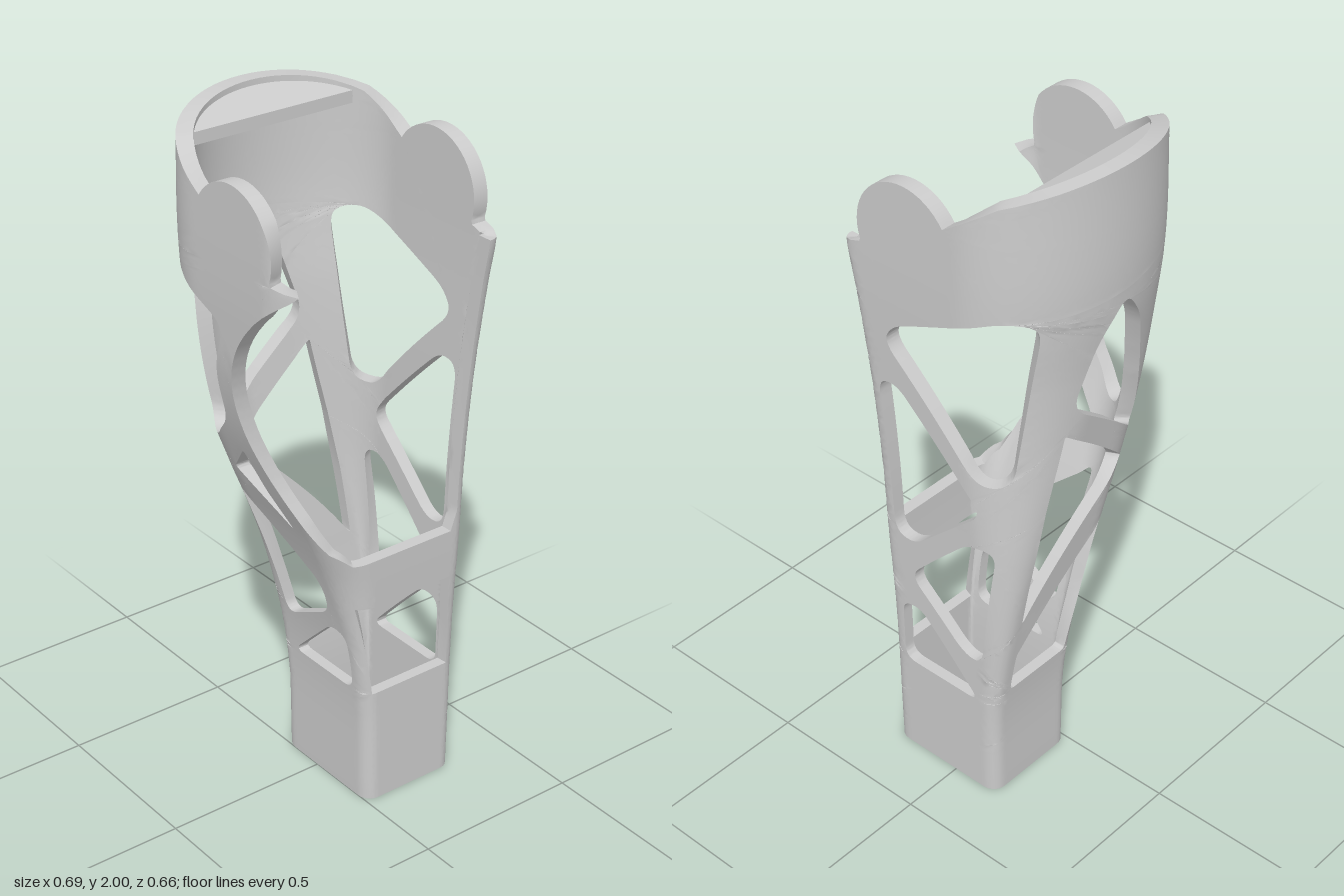
import * as THREE from 'three';
import { toCreasedNormals } from 'three/addons/utils/BufferGeometryUtils.js';

const { lerp, clamp, smoothstep } = THREE.MathUtils;
const US = 0.4;      // width of one unrolled wall
const DEPTH = 0.04;  // unrolled shell thickness
const SEAM = 0.15;   // x where the unrolled shell closes
const K = 1 - Math.SQRT1_2;

// Silhouette curves over the height
const curve = (ys, vs) => {
  const c = new THREE.CubicInterpolant(ys, vs, 1, new Float32Array(1));
  return (y) => c.evaluate(clamp(y, 0, 2))[0];
};
const xMin = curve([0, 0.35, 0.5, 0.7, 0.85, 1, 1.2, 1.38, 1.55, 1.7, 2],
  [0, -0.01, -0.03, -0.08, -0.135, -0.2, -0.28, -0.325, -0.34, -0.345, -0.345]);
const xMax = curve([0, 0.6, 1.2, 1.6, 2], [0.31, 0.32, 0.333, 0.345, 0.345]);
const zMax = curve([0, 0.5, 0.75, 1, 1.3, 1.55, 1.68, 2], [0.23, 0.232, 0.243, 0.25, 0.272, 0.303, 0.325, 0.325]);
const zMin = curve([0, 0.3, 0.6, 0.9, 1.2, 1.4, 1.62, 2], [-0.15, -0.155, -0.19, -0.23, -0.27, -0.298, -0.33, -0.33]);

// Cross-section: square at the foot, half round at the back near the top
function section(y) {
  const x0 = xMin(y), x1 = xMax(y), z0 = zMin(y), z1 = zMax(y);
  const s = smoothstep(y, 0.3, 1.65);
  return {
    x0, x1, z0, z1,
    rx: lerp(0.04, (x1 - x0) / 2, s), rz: lerp(0.04, 0.27, s),
    rf: 0.04, rg: 0.04 + 0.06 * smoothstep(y, 0.4, 0.8),
  };
}
// Start and end coordinate of each wall: front, left, back, right, front
function ranges(c) {
  const back = c.z0 + K * c.rz;
  return [
    [SEAM, c.x1 - K * c.rf], [c.z1 - K * c.rf, back],
    [c.x1 - K * c.rx, c.x0 + K * c.rx],
    [back, c.z1 - K * c.rg], [c.x0 + K * c.rg, SEAM],
  ];
}
// Unrolled point for a coordinate p on a wall at height y
function at(wall, p, y) {
  const [a, b] = ranges(section(y))[wall];
  return new THREE.Vector2((wall + (p - a) / (b - a)) * US, y);
}
// Elliptic corner: distance dropped from the flat and the 2D normal
function bend(p, lo, hi, aLo, bLo, aHi, bHi) {
  const high = p > (lo + hi) / 2;
  const a = high ? aHi : aLo, b = high ? bHi : bLo;
  const q = high ? clamp((p - hi + a) / a, 0, 1) : clamp((p - lo - a) / a, -1, 0);
  const s = Math.sqrt(1 - q * q), l = Math.hypot(q / a, s / b);
  return [b * (1 - s), q / a / l, s / b / l];
}
// Roll an unrolled point onto the body
function roll(v) {
  const y = v.y, c = section(y), u = clamp(v.x / US, 0, 5);
  const w = Math.min(4, Math.floor(u)), [a, b] = ranges(c)[w], p = lerp(a, b, u - w);
  const d = (1 - v.z / DEPTH) * lerp(0.033, 0.045, smoothstep(y, 0.4, 1.6));
  if (w === 0 || w === 4) {
    const [o, n, m] = bend(p, c.x0, c.x1, c.rg, c.rg, c.rf, c.rf);
    return [p - n * d, y, c.z1 - o - m * d];
  }
  if (w === 2) {
    const [o, n, m] = bend(p, c.x0, c.x1, c.rx, c.rz, c.rx, c.rz);
    return [p - n * d, y, c.z0 + o + m * d];
  }
  const r = w === 1 ? c.rf : c.rg;
  const [o, n, m] = bend(p, c.z0, c.z1, c.rz, c.rx, r, r);
  return [w === 1 ? c.x1 - o - m * d : c.x0 + o + m * d, y, p - n * d];
}
// Halve the longest edges until the sheet is fine enough to roll
function refine(geo, limit) {
  const src = geo.index ? geo.toNonIndexed() : geo;
  const pos = src.attributes.position, out = [], stack = [];
  const get = (i) => new THREE.Vector3().fromBufferAttribute(pos, i);
  for (let i = 0; i < pos.count; i += 3) stack.push([get(i), get(i + 1), get(i + 2)]);
  while (stack.length) {
    const [a, b, c] = stack.pop();
    const ab = a.distanceToSquared(b), bc = b.distanceToSquared(c), ca = c.distanceToSquared(a);
    const m = Math.max(ab, bc, ca);
    if (m < limit * limit) out.push(...roll(a), ...roll(b), ...roll(c));
    else {
      const [p, q, r] = m === ab ? [a, b, c] : m === bc ? [b, c, a] : [c, a, b];
      const h = p.clone().add(q).multiplyScalar(0.5);
      stack.push([p, h, r], [h, q, r]);
    }
  }
  const g = new THREE.BufferGeometry();
  g.setAttribute('position', new THREE.Float32BufferAttribute(out, 3));
  return g;
}
// Window with rounded corners on one wall
function windowPath(wall, pts, r) {
  const v = pts.map((p) => new THREE.Vector2(...p)), n = v.length, res = [];
  v.forEach((p, i) => {
    const toward = (o) => p.clone().lerp(o, Math.min(0.45, r / p.distanceTo(o)));
    const arc = new THREE.QuadraticBezierCurve(toward(v[(i + n - 1) % n]), p, toward(v[(i + 1) % n]));
    res.push(...arc.getPoints(6).map((e) => at(wall, e.x, e.y)));
  });
  return new THREE.Path(res);
}

const rimY = (z) => 1.948 - 0.35 * (z + 0.18);

// Side rim from the front lip over the round ear to the back
function sideRim(wall) {
  const pts = [[0.318, 1.68], [0.255, 1.7]];
  for (let i = 0; i <= 24; i++) {
    const t = lerp(-0.32, Math.PI - 0.6, i / 24);
    pts.push([0.1 + 0.16 * Math.cos(t), 1.76 + 0.16 * Math.sin(t)]);
  }
  pts.push([-0.18, 1.948], [-0.245, rimY(-0.245)]);
  return pts.map(([z, y]) => at(wall, z, y));
}

function shellGeometry() {
  const outline = [new THREE.Vector2(0, 0), new THREE.Vector2(5 * US, 0)];
  const add = (wall, list) => list.forEach(([p, y]) => outline.push(at(wall, p, y)));
  // lower front window, crossbar and swept right edge
  add(4, [[SEAM, 0.36], [0.015, 0.36], [-0.04, 0.65], [SEAM, 0.65], [SEAM, 0.8], [-0.06, 0.8]]);
  const sweep = [[0.2, 0.84], [0.15, 0.93], [0.09, 1.05], [0.055, 1.2], [0.055, 1.34], [0.1, 1.47], [0.19, 1.58], [0.318, 1.68]];
  const edge = new THREE.SplineCurve(sweep.map((p) => new THREE.Vector2(...p))).getPoints(28);
  add(3, edge.slice(0, -1).map((p) => [p.x, p.y]));
  outline.push(...sideRim(3));
  for (let i = 0; i <= 16; i++) {
    const x = lerp(-0.23, 0.23, i / 16);
    add(2, [[x, rimY(-0.06 - 0.27 * Math.sqrt(1 - (x / 0.345) ** 2))]]);
  }
  outline.push(...sideRim(1).reverse());
  // left front leg
  add(0, [[0.302, 1.68], [0.298, 1.3], [0.29, 0.86], [0.27, 0.8], [SEAM, 0.8], [SEAM, 0.65], [0.275, 0.65], [0.28, 0.36], [SEAM, 0.36]]);
  const shape = new THREE.Shape(outline);

  shape.holes.push(
    // left wall
    windowPath(1, [[0.19, 1.43], [0.15, 1.49], [-0.19, 1.63], [-0.26, 1.61], [-0.195, 1.11], [-0.12, 1.1]], 0.05),
    windowPath(1, [[0.22, 1.29], [0.15, 1.3], [-0.13, 1.01], [0.12, 0.78], [0.19, 0.79]], 0.05),
    windowPath(1, [[0.145, 0.66], [-0.08, 0.89], [-0.165, 0.89], [-0.115, 0.48], [-0.05, 0.48]], 0.05),
    windowPath(1, [[0.18, 0.54], [0.11, 0.55], [-0.1, 0.33], [0.18, 0.33]], 0.04),
    // back wall
    windowPath(2, [[0.0, 1.63], [-0.08, 1.52], [-0.13, 1.33], [-0.175, 1.07], [0.14, 1.32], [0.08, 1.52]], 0.05),
    windowPath(2, [[-0.12, 1.01], [0.155, 1.24], [0.2, 1.0], [0.24, 0.62]], 0.01),
    windowPath(2, [[-0.09, 0.85], [0.245, 0.5], [0.255, 0.37], [0.03, 0.37], [-0.02, 0.58]], 0.015),
    // right wall
    windowPath(3, [[0.05, 1.52], [-0.2, 1.62], [-0.285, 1.61], [-0.2, 1.12], [-0.13, 1.1], [-0.01, 1.22], [-0.005, 1.38]], 0.05),
    windowPath(3, [[-0.09, 1.02], [0.005, 1.12], [0.035, 1.0], [0.09, 0.88]], 0.015),
    windowPath(3, [[-0.15, 0.93], [0.12, 0.7], [0.12, 0.6], [-0.1, 0.48]], 0.05),
    windowPath(3, [[0.175, 0.54], [0.11, 0.55], [-0.09, 0.36], [0.175, 0.36]], 0.04),
  );
  const sheet = new THREE.ExtrudeGeometry(shape, { depth: DEPTH, bevelEnabled: false });
  return toCreasedNormals(refine(sheet, 0.026), 0.7);
}

// Sloping cap closing the back of the rim
function capGeometry() {
  const t0 = Math.asin(0.12 / 0.268), pts = [];
  for (let i = 0; i <= 32; i++) {
    const t = lerp(t0, Math.PI - t0, i / 32);
    pts.push(new THREE.Vector2(0.342 * Math.cos(t), 0.06 + 0.268 * Math.sin(t)));
  }
  const g = new THREE.ExtrudeGeometry(new THREE.Shape(pts), { depth: 0.035, bevelEnabled: false });
  g.rotateX(-Math.PI / 2);
  const p = g.attributes.position;
  for (let i = 0; i < p.count; i++) p.setY(i, p.getY(i) - 0.036 + rimY(p.getZ(i)));
  return toCreasedNormals(g, 0.6);
}

export function createModel() {
  const group = new THREE.Group();
  const material = new THREE.MeshStandardMaterial({ color: 0xcccccc });
  const part = (name, geometry) => {
    const mesh = new THREE.Mesh(geometry, material);
    mesh.name = name;
    group.add(mesh);
  };
  part('trussShell', shellGeometry());
  part('rimCap', capGeometry());
  return group;
}
